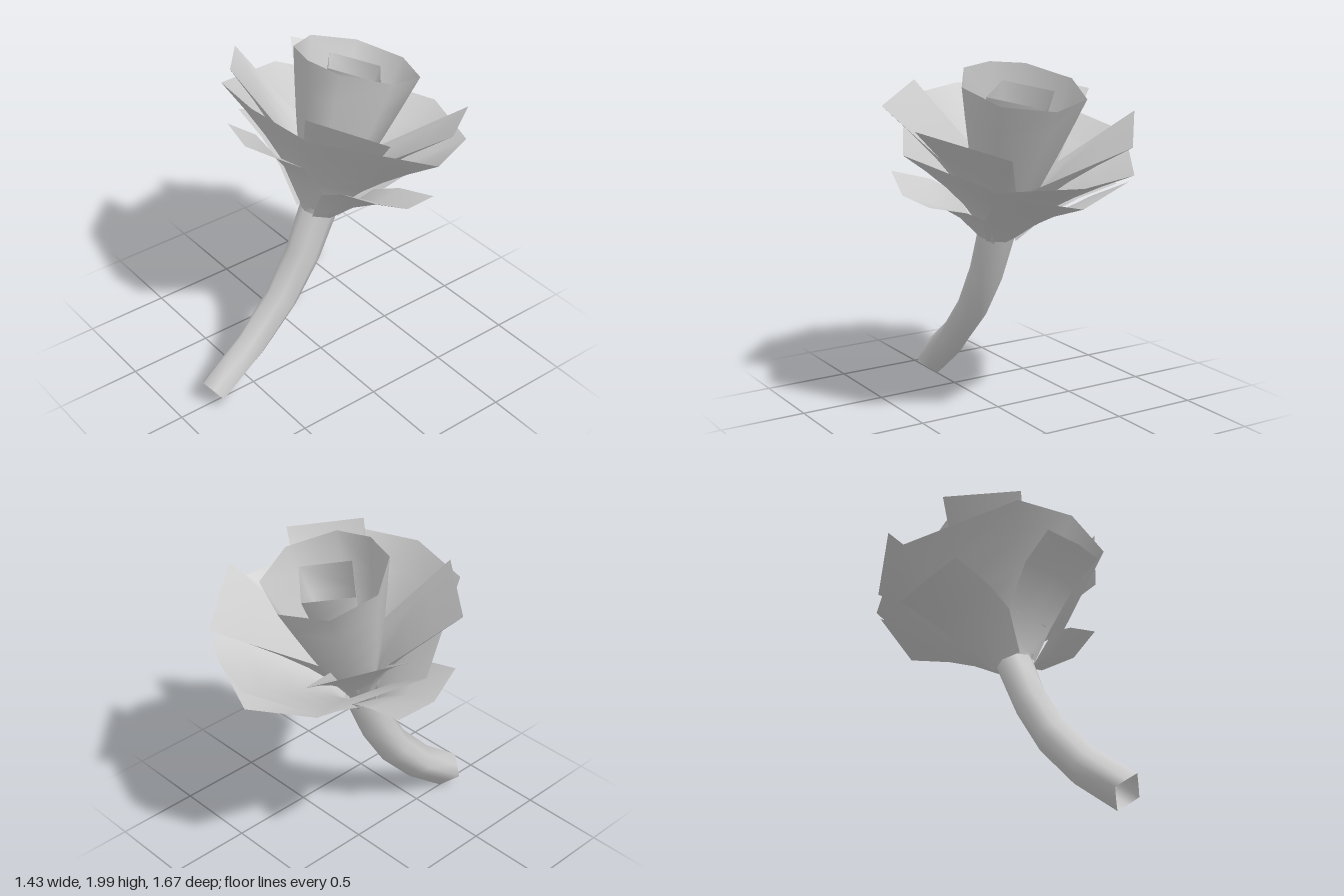
import * as THREE from 'three';

const material = new THREE.MeshStandardMaterial({ color: 0xcccccc, side: THREE.DoubleSide });

// Smooth skin over rows of points; closed joins the last column to the first.
function skin(name, rows, closed) {
  const n = rows[0].length;
  const index = [];
  for (let i = 0; i < rows.length - 1; i++) {
    for (let j = 0; j < (closed ? n : n - 1); j++) {
      const k = (j + 1) % n;
      const a = i * n + j, b = i * n + k, c = a + n, d = b + n;
      index.push(a, b, d, a, d, c);
    }
  }
  const geometry = new THREE.BufferGeometry();
  geometry.setAttribute('position', new THREE.Float32BufferAttribute(rows.flat(2), 3));
  geometry.setIndex(index);
  geometry.computeVertexNormals();
  const mesh = new THREE.Mesh(geometry, material);
  mesh.name = name;
  return mesh;
}

// Funnel of petals from a small base circle up to a rim.
// half: [angle from the front in degrees, radius, height] from 0 to 180, mirrored in x.
function whorl(name, half, baseRadius, flare, steps = 5) {
  const rim = [...half, ...half.slice(1, -1).reverse().map(([a, r, h]) => [360 - a, r, h])];
  const rows = [];
  for (let i = 0; i <= steps; i++) {
    const t = i / steps;
    rows.push(rim.map(([deg, r, h]) => {
      const a = THREE.MathUtils.degToRad(deg);
      const radius = baseRadius + (r - baseRadius) * t ** flare;
      return [radius * Math.sin(a), h * t, radius * Math.cos(a)];
    }));
  }
  return skin(name, rows, true);
}

// Single outer petal facing +z, from rows of
// [half width, height, distance, inset of the edges, lift of the edges].
function sepal(name, profile, turn) {
  const rows = profile.map(([w, h, r, inset, lift]) => [
    [-w, h + lift, r - inset], [0, h, r], [w, h + lift, r - inset],
  ]);
  const mesh = skin(name, rows, false);
  mesh.rotation.y = turn;
  return mesh;
}

// Bent stem: diamond section at the cut end, rounding off toward the flower.
function stem() {
  const path = [[0.775, 0.09], [0.505, 0.3], [0.285, 0.535], [0.13, 0.78], [0.02, 1.035]];
  const rows = path.map(([z, y], i) => {
    const p = path[Math.max(i - 1, 0)], q = path[Math.min(i + 1, path.length - 1)];
    const len = Math.hypot(q[0] - p[0], q[1] - p[1]);
    let nz = (q[1] - p[1]) / len, ny = -(q[0] - p[0]) / len;
    if (i === path.length - 1) { nz = 0.957; ny = 0.29; }
    const t = i / (path.length - 1);
    const mid = THREE.MathUtils.lerp(0.72, 0.98, t);
    return Array.from({ length: 8 }, (_, j) => {
      const a = j * Math.PI / 4, r = j % 2 ? mid : 1;
      const across = (0.101 + 0.009 * t) * r * Math.cos(a), up = 0.108 * r * Math.sin(a);
      return [across, y + ny * up, z + nz * up];
    });
  });
  return skin('stem', rows, true);
}

export function createModel() {
  const group = new THREE.Group();
  group.name = 'flower';
  group.add(stem());

  // Blossom, tipped backward on the stem
  const head = new THREE.Group();
  head.name = 'blossom';
  head.position.set(0, 1.03, 0.02);
  head.rotation.x = -0.295;
  group.add(head);

  // Square bud and the cup around it
  head.add(whorl('bud', [[0, 0.19, 0.86], [90, 0.22, 0.86], [180, 0.19, 0.86]], 0.05, 0.8));
  head.add(whorl('innerCup',
    [[0, 0.345, 0.908], [35, 0.35, 0.908], [83, 0.355, 0.908], [130, 0.355, 0.908], [180, 0.345, 0.908]],
    0.06, 0.8));

  // Four split petals with deep notches between them
  head.add(whorl('middlePetals',
    [[0, 0.22, 0.35], [30, 0.66, 0.727], [67, 0.735, 0.72], [90, 0.33, 0.42],
      [100, 0.71, 0.76], [146, 0.67, 0.766], [180, 0.13, 0.3]],
    0.07, 1.4));

  // Wide outer funnel
  head.add(whorl('outerPetals',
    [[0, 0.65, 0.65], [34, 0.685, 0.63], [95, 0.717, 0.6], [142, 0.7, 0.595], [180, 0.694, 0.638]],
    0.1, 1.4));

  // Four drooping petals beneath, the back one broadest
  const side = [[0.1, 0, 0.11, 0.04, 0], [0.19, 0.14, 0.26, 0.07, 0.06],
    [0.21, 0.24, 0.42, 0.06, 0.05], [0.22, 0.325, 0.645, 0.04, 0.035]];
  head.add(sepal('frontSepal',
    [[0.1, 0.02, 0.11, 0.04, 0], [0.18, 0.2, 0.21, 0.03, 0.015],
      [0.21, 0.37, 0.43, 0.035, 0.02], [0.22, 0.435, 0.635, 0.035, 0.03]], 0));
  head.add(sepal('leftSepal', side, Math.PI / 2));
  head.add(sepal('rightSepal', side, -Math.PI / 2));
  head.add(sepal('backSepal',
    [[0.1, 0, 0.1, 0.04, 0], [0.23, 0.18, 0.27, 0.08, 0.02],
      [0.32, 0.37, 0.49, 0.12, 0.025], [0.4, 0.53, 0.717, 0.16, 0.035]], Math.PI));

  return group;
}
